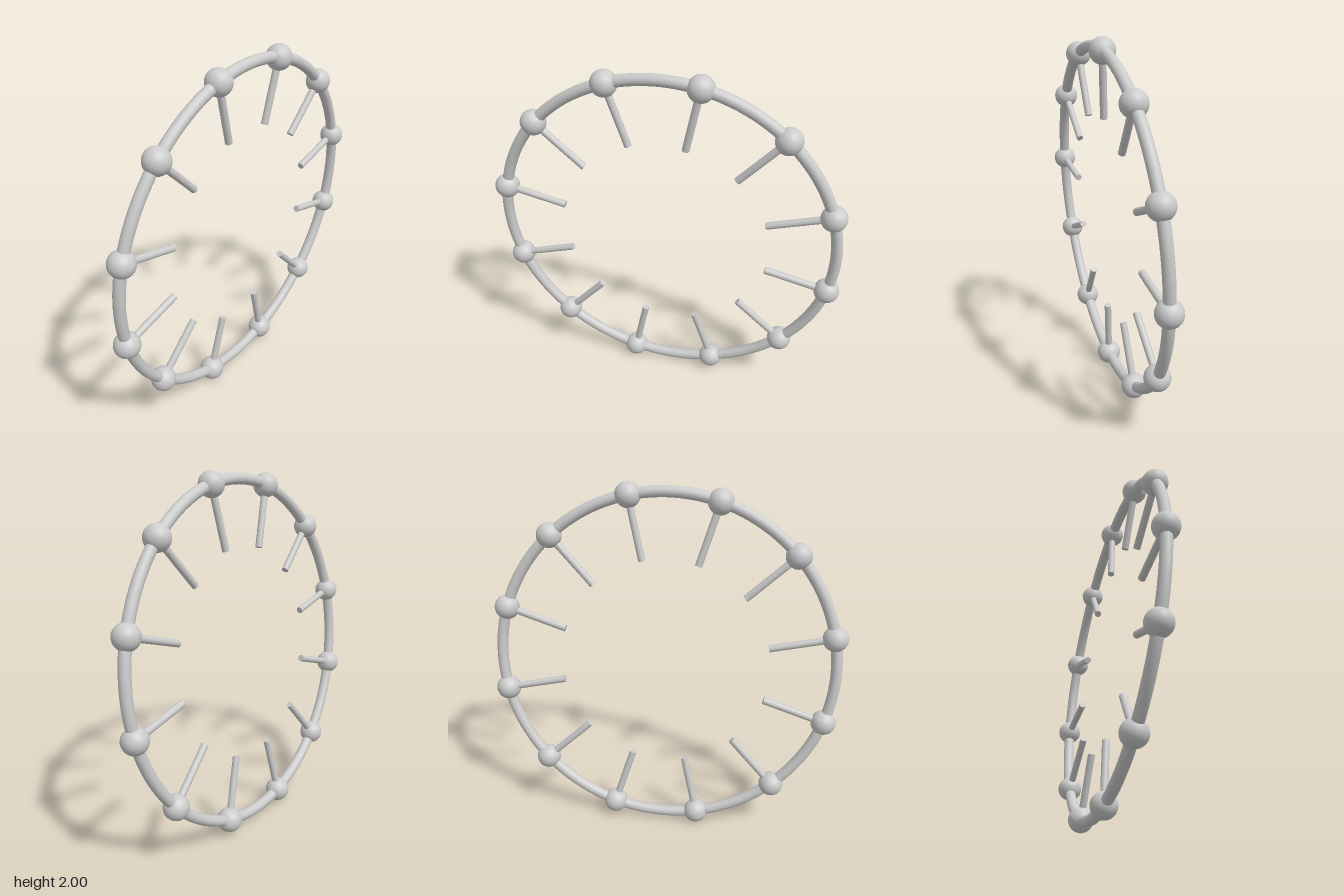
import * as THREE from 'three';

const RING_RADIUS = 0.955;
const TUBE_RADIUS = 0.031;
const BALL_RADIUS = 0.07;
const SPOKE_TIP = 0.597; // distance of the inner spoke ends from the centre
const SPOKE_RADIUS = 0.02;
const COUNT = 12;

export function createModel() {
  const model = new THREE.Group();
  model.name = 'spokedRing';
  const material = new THREE.MeshStandardMaterial({ color: 0xcccccc });

  const add = (parent, name, geometry) => {
    const mesh = new THREE.Mesh(geometry, material);
    mesh.name = name;
    parent.add(mesh);
    return mesh;
  };

  // Ring, lying in the local XY plane
  const wheel = new THREE.Group();
  wheel.name = 'wheel';
  add(wheel, 'ring', new THREE.TorusGeometry(RING_RADIUS, TUBE_RADIUS, 16, 144));

  // Twelve balls on the ring, each with a spoke pointing at the centre
  const ballGeometry = new THREE.SphereGeometry(BALL_RADIUS, 32, 20);
  const spokeLength = RING_RADIUS - SPOKE_TIP;
  const spokeGeometry = new THREE.CylinderGeometry(SPOKE_RADIUS, SPOKE_RADIUS, spokeLength, 16);
  for (let i = 0; i < COUNT; i++) {
    const marker = new THREE.Group();
    marker.name = `marker${i + 1}`;
    marker.rotation.z = (i / COUNT) * Math.PI * 2;
    add(marker, 'ball', ballGeometry).position.y = RING_RADIUS;
    add(marker, 'spoke', spokeGeometry).position.y = (RING_RADIUS + SPOKE_TIP) / 2;
    wheel.add(marker);
  }

  // Tilt: local y runs through the topmost ball, local z is the ring's axis
  const up = new THREE.Vector3(0.232, 0.973, 0).normalize();
  const side = new THREE.Vector3();
  const axis = new THREE.Vector3(0.363, -0.0866, 0.928).normalize();
  side.crossVectors(up, axis).normalize();
  axis.crossVectors(side, up);
  wheel.quaternion.setFromRotationMatrix(new THREE.Matrix4().makeBasis(side, up, axis));
  wheel.position.y = 1;
  model.add(wheel);

  return model;
}
